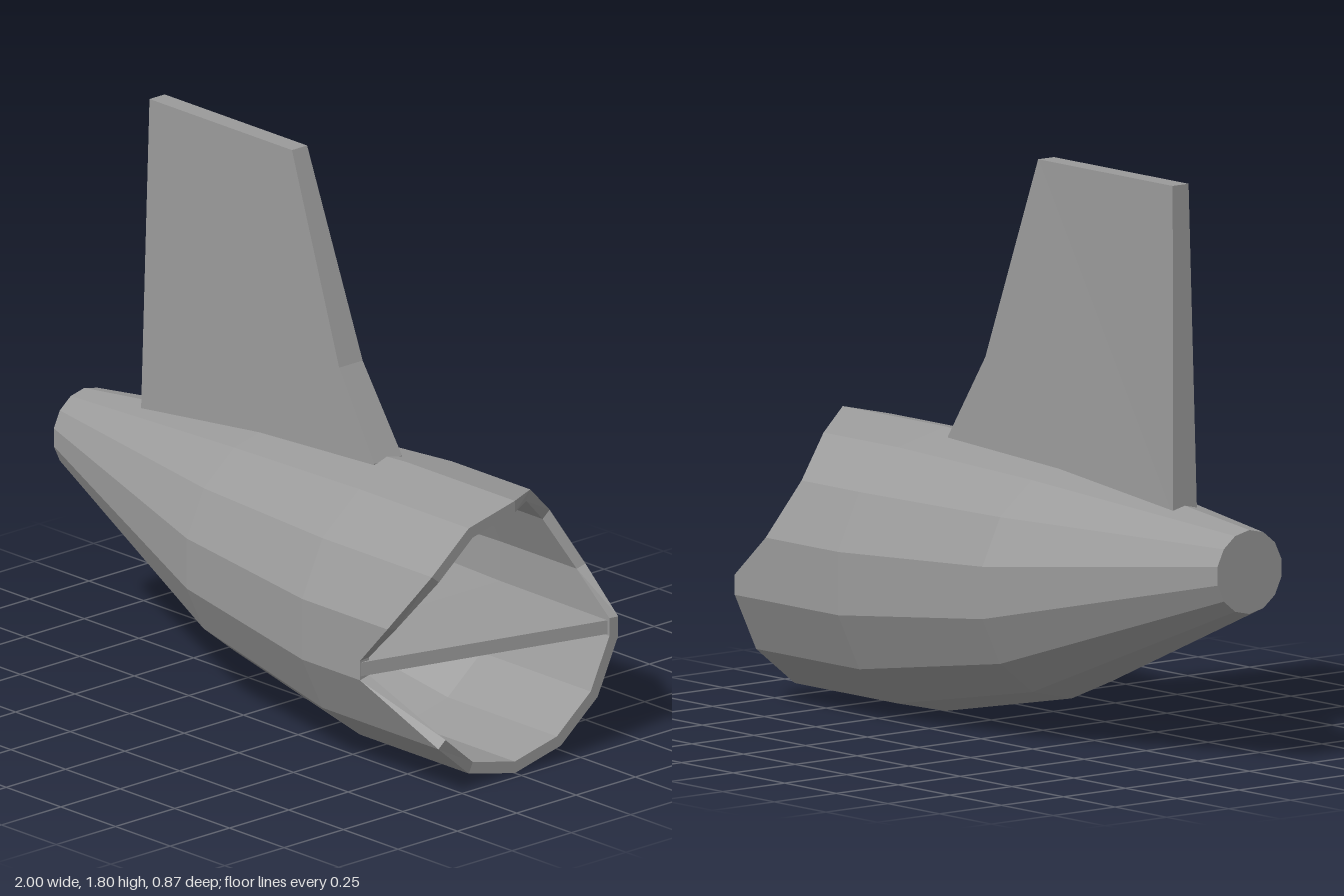
import * as THREE from 'three';

const SIDES = 14;
const WALL = 0.038;
const material = new THREE.MeshStandardMaterial({ color: 0x9a9a9a, flatShading: true, side: THREE.DoubleSide });

// Skin a list of equal-length closed sections, each an array of [x, y, z]
function loft(sections, name) {
  const n = sections[0].length;
  const index = [];
  for (let j = 0; j < sections.length - 1; j++) {
    for (let i = 0; i < n; i++) {
      const a = j * n + i, b = j * n + (i + 1) % n;
      index.push(a, b, b + n, a, b + n, a + n);
    }
  }
  const geometry = new THREE.BufferGeometry();
  geometry.setAttribute('position', new THREE.Float32BufferAttribute(sections.flat(2), 3));
  geometry.setIndex(index);
  const flat = geometry.toNonIndexed();
  flat.computeVertexNormals();
  const mesh = new THREE.Mesh(flat, material);
  mesh.name = name;
  return mesh;
}

// Close both ends of a loft with a fan to the section's middle
function capped(sections) {
  const fan = (s) => {
    const mid = [0, 1, 2].map((k) => s.reduce((sum, p) => sum + p[k], 0) / s.length);
    return s.map(() => mid);
  };
  return [fan(sections[0]), ...sections, fan(sections[sections.length - 1])];
}

// Fuselage ring, from the top towards +z, with an extra point on each side at
// deck level; xAt gives the x of each point
function ring(xAt, centreY, radius) {
  const points = [];
  for (let i = 0; i < SIDES; i++) {
    const a = (i / SIDES) * Math.PI * 2;
    points.push([0, centreY + radius * Math.cos(a), radius * Math.sin(a)]);
  }
  const between = (p, q, t) => p.map((v, k) => v + (q[k] - v) * t);
  points.splice(11, 0, between(points[10], points[11], 0.32));
  points.splice(4, 0, between(points[3], points[4], 0.68));
  return points.map(([, y, z], i) => [xAt(i), y, z]);
}

function createHull() {
  // x of the torn edge at each ring point
  const torn = [0.97, 0.97, 0.97, 0.86, 0.735, 0.735, 1.0, 0.97,
    0.97, 0.97, 0.97, 0.97, 0.97, 0.82, 0.75, 0.83];
  const tornAt = (i) => torn[i];
  const outer = [
    ring(() => -1, 0.626, 0.132),
    ring(() => -0.14, 0.488, 0.37),
    ring(() => 0.47, 0.447, 0.447),
    ring(tornAt, 0.447, 0.447),
  ];
  const inner = [
    ring(tornAt, 0.447, 0.447 - WALL),
    ring(() => 0.47, 0.447, 0.447 - WALL),
    ring(() => -0.14, 0.488, 0.37 - WALL),
    ring(() => -0.97, 0.626, 0.11),
  ];
  return loft(capped([...outer, ...inner]), 'hull');
}

// Inner deck rising towards the tail, broken off at a slant
function createDeck() {
  const section = (xLeft, xRight, y, half) => [
    [xRight, y, -half], [xLeft, y, half], [xLeft, y - 0.045, half], [xRight, y - 0.045, -half],
  ];
  return loft(capped([
    section(-0.98, -0.98, 0.61, 0.115),
    section(-0.14, -0.14, 0.465, 0.345),
    section(0.47, 0.47, 0.408, 0.422),
    section(0.735, 0.97, 0.405, 0.434),
  ]), 'deck');
}

// Upright fin, thinning towards the tip and, at its root, towards the tail
function createFin() {
  const outline = [[-0.688, 0.765], [0.39, 0.865], [0.39, 0.88], [0.22, 1.15], [-0.015, 1.8], [-0.667, 1.8]];
  const shape = new THREE.Shape(outline.map(([x, y]) => new THREE.Vector2(x, y)));
  const geometry = new THREE.ExtrudeGeometry(shape, { depth: 2, bevelEnabled: false });
  const p = geometry.attributes.position;
  for (let i = 0; i < p.count; i++) {
    const root = THREE.MathUtils.mapLinear(p.getX(i), -0.69, 0.39, 0.048, 0.061);
    const half = THREE.MathUtils.mapLinear(p.getY(i), 0.8, 1.8, root, 0.032);
    p.setZ(i, (p.getZ(i) - 1) * half);
  }
  geometry.computeVertexNormals();
  const mesh = new THREE.Mesh(geometry, material);
  mesh.name = 'tailFin';
  return mesh;
}

export function createModel() {
  const model = new THREE.Group();
  model.name = 'brokenTailSection';
  model.add(createHull(), createDeck(), createFin());
  return model;
}
